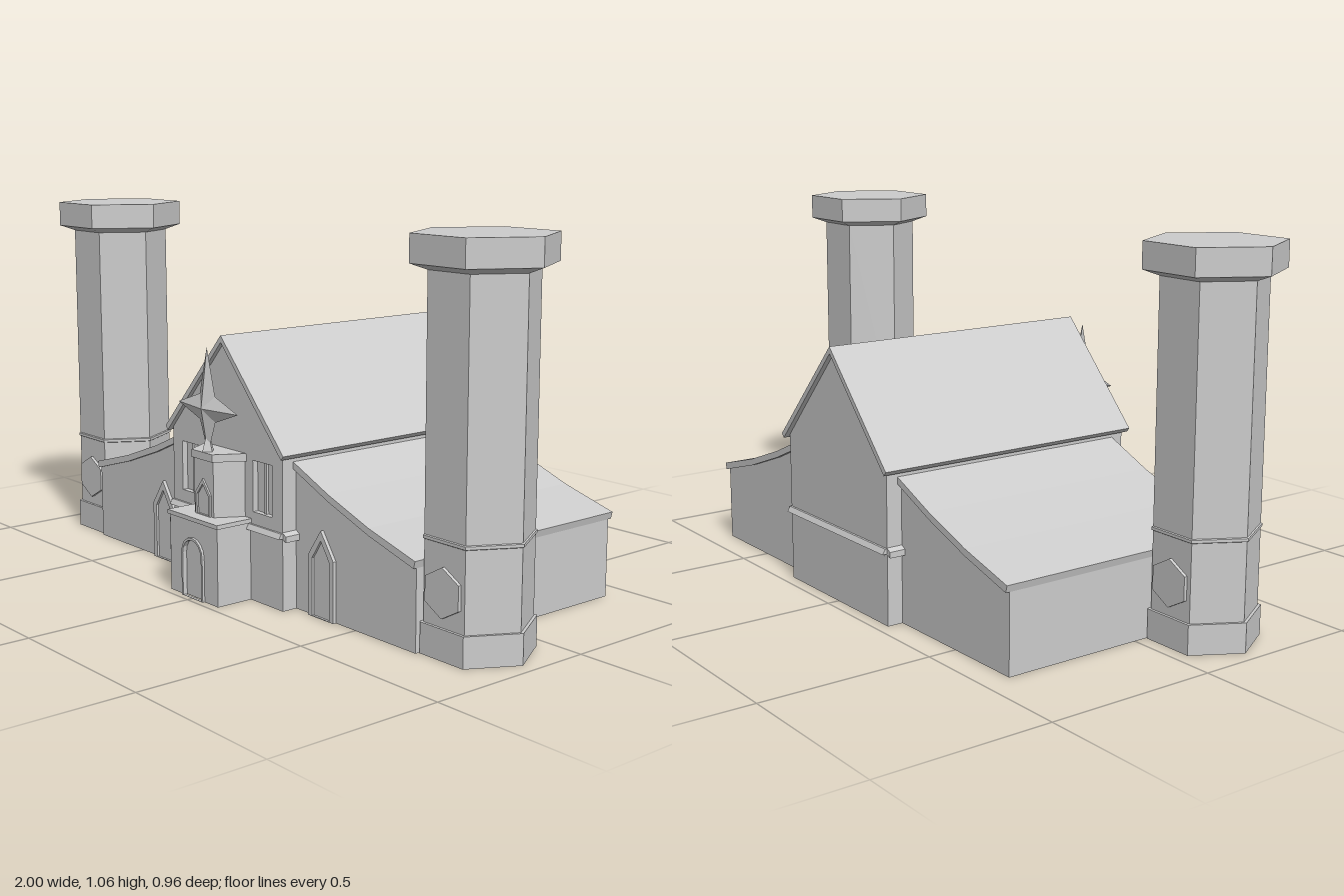
import * as THREE from 'three';

const mat = new THREE.MeshStandardMaterial({ color: 0xcccccc, flatShading: true, side: THREE.DoubleSide });

// Flat normals; triangles lying on the ground are left out so the shells are open below
function flat(geo) {
  const g = geo.index ? geo.toNonIndexed() : geo;
  const p = g.attributes.position, out = [];
  for (let i = 0; i < p.count; i += 3) {
    if (Math.max(p.getY(i), p.getY(i + 1), p.getY(i + 2)) < 1e-4) continue;
    for (let k = i; k < i + 3; k++) out.push(p.getX(k), p.getY(k), p.getZ(k));
  }
  const r = new THREE.BufferGeometry();
  r.setAttribute('position', new THREE.Float32BufferAttribute(out, 3));
  r.computeVertexNormals();
  return r;
}

function add(parent, name, geo) {
  const m = new THREE.Mesh(flat(geo), mat);
  m.name = name;
  parent.add(m);
  return m;
}

const vecs = (pts) => pts.map(([x, y]) => new THREE.Vector2(x, y));

// Outline in x, y extruded from z0 to z1
function slab(pts, z0, z1, holes = []) {
  const s = new THREE.Shape(vecs(pts));
  for (const h of holes) s.holes.push(new THREE.Path(vecs(h)));
  return new THREE.ExtrudeGeometry(s, { depth: z1 - z0, bevelEnabled: false }).translate(0, 0, z0);
}

function box(x0, x1, y0, y1, z0, z1) {
  return new THREE.BoxGeometry(x1 - x0, y1 - y0, z1 - z0)
    .translate((x0 + x1) / 2, (y0 + y1) / 2, (z0 + z1) / 2);
}

const rect = (x0, x1, y0, y1) => [[x0, y0], [x1, y0], [x1, y1], [x0, y1]];
const pointed = (cx, w, y0, shoulder, tip) =>
  [[cx - w, y0], [cx + w, y0], [cx + w, shoulder], [cx, tip], [cx - w, shoulder]];

// Round-headed outline
function rounded(w, y0, spring) {
  const pts = [[-w, y0], [w, y0]];
  for (let i = 0; i <= 8; i++) {
    const a = (i / 8) * Math.PI;
    pts.push([w * Math.cos(a), spring + w * Math.sin(a)]);
  }
  return pts;
}

// Six-sided turned form with corners on the x axis
function hexLathe(profile) {
  return new THREE.LatheGeometry(vecs(profile), 6, Math.PI / 2);
}

// Six-sided rail along x or z
function rail(length, alongX) {
  const g = new THREE.CylinderGeometry(0.017, 0.017, length, 6);
  return alongX ? g.rotateZ(Math.PI / 2) : g.rotateX(Math.PI / 2);
}

function buildNave() {
  const g = new THREE.Group();
  g.name = 'nave';
  const gable = [[-0.255, 0], [0.255, 0], [0.255, 0.435], [0, 0.715], [-0.255, 0.435]];
  add(g, 'naveWalls', slab(gable, -0.465, 0.345));
  const windows = [rect(-0.21, -0.125, 0.255, 0.4), rect(0.125, 0.21, 0.255, 0.4)];
  add(g, 'naveFront', slab(gable, 0.345, 0.362, windows));
  // steep roof of two slabs meeting at the ridge
  add(g, 'naveRoof', slab([[0, 0.733], [-0.275, 0.437], [-0.265, 0.425], [0, 0.713], [0.265, 0.425], [0.275, 0.437]],
    -0.48, 0.375));
  add(g, 'backMolding', rail(0.51, true)).position.set(0, 0.205, -0.463);
  return g;
}

// Everything that is repeated on both sides, modelled at +x
function buildSide(name) {
  const g = new THREE.Group();
  g.name = name;

  // aisle with a sagging lean-to roof
  const curve = [[0.255, 0.413], [0.4, 0.35], [0.56, 0.292], [0.735, 0.243]];
  const under = curve.map(([x, y]) => [Math.min(x, 0.73), y - 0.02]);
  add(g, 'aisleWalls', slab([[0.255, 0], [0.73, 0], ...under.slice().reverse()], -0.418, 0.315));
  add(g, 'aisleRoof', slab([...under, ...curve.slice().reverse()], -0.43, 0.325));

  // pointed side door: frame and inner panel
  add(g, 'sideDoorFrame', slab(pointed(0.37, 0.052, 0, 0.17, 0.245), 0.31, 0.325,
    [pointed(0.37, 0.036, 0.002, 0.163, 0.217)]));
  add(g, 'sideDoor', slab(pointed(0.37, 0.037, 0, 0.164, 0.219), 0.31, 0.318));

  // nave mullion and moldings
  add(g, 'windowMullion', box(0.162, 0.173, 0.255, 0.4, 0.343, 0.352));
  add(g, 'frontMolding', rail(0.15, true)).position.set(0.182, 0.205, 0.36);
  add(g, 'sideMoldingFront', rail(0.05, false)).position.set(0.255, 0.205, 0.338);
  add(g, 'sideMoldingBack', rail(0.05, false)).position.set(0.255, 0.205, -0.441);

  // hexagonal tower
  const tower = new THREE.Group();
  tower.name = 'tower';
  tower.position.set(0.81, 0, 0.172);
  add(tower, 'towerShaft', hexLathe([[0.153, 0], [0.153, 0.083], [0.144, 0.083], [0.144, 0.298], [0.148, 0.3],
    [0.148, 0.308], [0.144, 0.31], [0.144, 0.967], [0.19, 0.983], [0.19, 1.056], [0, 1.056]]));
  const hex = [];
  for (let i = 0; i < 6; i++) {
    const a = Math.PI / 6 + (i * Math.PI) / 3;
    hex.push([0.068 * Math.cos(a), 0.175 + 0.066 * Math.sin(a)]);
  }
  add(tower, 'frontPlaque', slab(hex, 0.118, 0.134));
  add(tower, 'backPlaque', slab(hex, -0.134, -0.118));
  g.add(tower);
  return g;
}

function buildPorch() {
  const g = new THREE.Group();
  g.name = 'porch';
  const door = rounded(0.044, 0, 0.125);
  add(g, 'porchWalls', box(-0.112, 0.112, 0, 0.222, 0.355, 0.465));
  add(g, 'porchFront', slab(
    [[-0.112, 0], [-0.044, 0], ...rounded(0.044, 0, 0.125).slice(2).reverse(),
      [0.044, 0], [0.112, 0], [0.112, 0.222], [-0.112, 0.222]], 0.465, 0.476));
  add(g, 'porchDoor', slab(door, 0.46, 0.469));
  add(g, 'doorSurround', slab(rounded(0.05, 0, 0.125), 0.474, 0.483, [rounded(0.043, 0.001, 0.125)]));
  add(g, 'porchCap', box(-0.118, 0.118, 0.222, 0.234, 0.355, 0.481));

  // half-hexagonal turret above the porch
  const turret = add(g, 'turret', hexLathe([[0.09, 0.234], [0.09, 0.392], [0.097, 0.392], [0.097, 0.414], [0, 0.414]]));
  turret.position.z = 0.36;
  add(g, 'turretNiche', slab(pointed(0, 0.035, 0.234, 0.295, 0.338), 0.43, 0.443,
    [pointed(0, 0.026, 0.236, 0.291, 0.323)]));
  return g;
}

// Four-pointed star: eight outline points joined to a front and a back apex
function buildStar() {
  const rim = [[0.138, 0], [0.036, 0.036], [0, 0.17], [-0.036, 0.036],
    [-0.138, 0], [-0.036, -0.036], [0, -0.13], [0.036, -0.036]];
  const v = [];
  rim.forEach((a, i) => {
    const b = rim[(i + 1) % 8];
    v.push(...a, 0, ...b, 0, 0, 0, 0.022);
    v.push(...b, 0, ...a, 0, 0, 0, -0.022);
  });
  const geo = new THREE.BufferGeometry();
  geo.setAttribute('position', new THREE.Float32BufferAttribute(v, 3));
  return geo.translate(0, 0.535, 0.422);
}

export function createModel() {
  const model = new THREE.Group();
  model.name = 'chapel';
  model.add(buildNave(), buildPorch());
  const left = buildSide('leftSide');
  const right = buildSide('rightSide');
  right.scale.x = -1;
  model.add(left, right);
  add(model, 'star', buildStar());
  // small flared foot under the star
  add(model, 'starFoot', new THREE.CylinderGeometry(0.006, 0.02, 0.045, 4).translate(0, 0.435, 0.422));
  return model;
}
